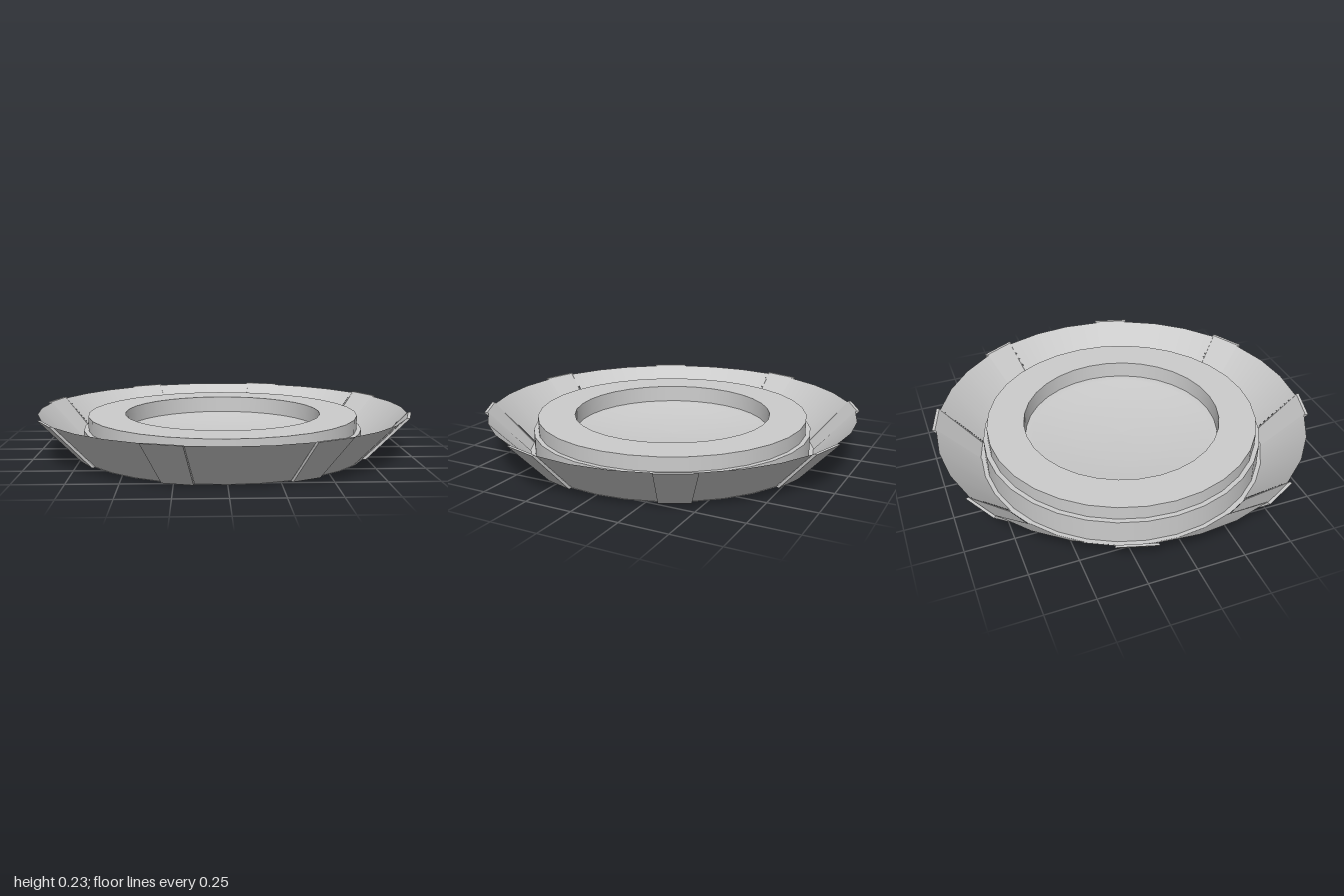
import * as THREE from 'three';

const SEGMENTS = 32;
const STEP = (Math.PI * 2) / SEGMENTS;

// Block spanning an angle range (in segments), flaring from bottom radii to top radii
function flaredBlock(from, to, bottom, top, height) {
  const geometry = new THREE.BoxGeometry(1, 1, 1);
  const pos = geometry.attributes.position;
  for (let i = 0; i < pos.count; i++) {
    const isTop = pos.getY(i) > 0;
    const angle = STEP * (pos.getX(i) > 0 ? to : from);
    const radius = (isTop ? top : bottom)[pos.getZ(i) > 0 ? 1 : 0];
    pos.setXYZ(i, Math.sin(angle) * radius, isTop ? height : 0, Math.cos(angle) * radius);
  }
  geometry.computeVertexNormals();
  return geometry;
}

export function createModel() {
  const group = new THREE.Group();
  const material = new THREE.MeshStandardMaterial({ color: 0xcccccc, side: THREE.DoubleSide });

  const add = (name, geometry, parent = group) => {
    const mesh = new THREE.Mesh(geometry, material);
    mesh.name = name;
    parent.add(mesh);
    return mesh;
  };

  const toProfile = (points) => points.map(([r, y]) => new THREE.Vector2(r, y));

  // Each band between two [radius, height] points is its own surface, so edges stay sharp
  const addBands = (name, points) => {
    const part = new THREE.Group();
    part.name = name;
    for (let i = 0; i < points.length - 1; i++) {
      add(name + 'Band', new THREE.LatheGeometry(toProfile(points.slice(i, i + 2)), SEGMENTS), part);
    }
    group.add(part);
  };

  // Dished floor in the centre with a narrow flat rim
  const dish = [[0, 0.075], [0.12, 0.077], [0.25, 0.084], [0.37, 0.095], [0.49, 0.112], [0.51, 0.114], [0.531, 0.114]];
  add('dishFloor', new THREE.LatheGeometry(toProfile(dish), SEGMENTS));

  // Stepped drum: well wall, flat top ring, outer wall, ledge and lower wall
  addBands('drum', [[0.531, 0.114], [0.535, 0.205], [0.735, 0.205], [0.735, 0.13], [0.76, 0.13], [0.76, 0.002]]);

  // Base collar inside the drum, with a flat lip reaching out to the skirt
  addBands('baseCollar', [[0.76, 0.07], [0.74, 0.07], [0.74, 0.002], [0.788, 0.002]]);

  // Flared skirt in eight sections, with an outset panel and its two side walls between them
  const skirt = new THREE.LatheGeometry(toProfile([[0.782, 0.002], [0.997, 0.228]]), 3, STEP * 3, STEP * 3);
  const panel = flaredBlock(2, 3, [0.788, 0.802], [1.003, 1.019], 0.232);
  const walls = [[2, 2.04], [2.96, 3]].map(([a, b]) => flaredBlock(a, b, [0.782, 0.79], [0.997, 1.005], 0.228));
  for (let i = 0; i < 8; i++) {
    const section = new THREE.Group();
    section.name = 'skirtSection';
    section.rotation.y = (i * Math.PI) / 4;
    add('skirt', skirt, section);
    add('skirtPanel', panel, section);
    walls.forEach((wall) => add('panelSideWall', wall, section));
    group.add(section);
  }

  return group;
}
